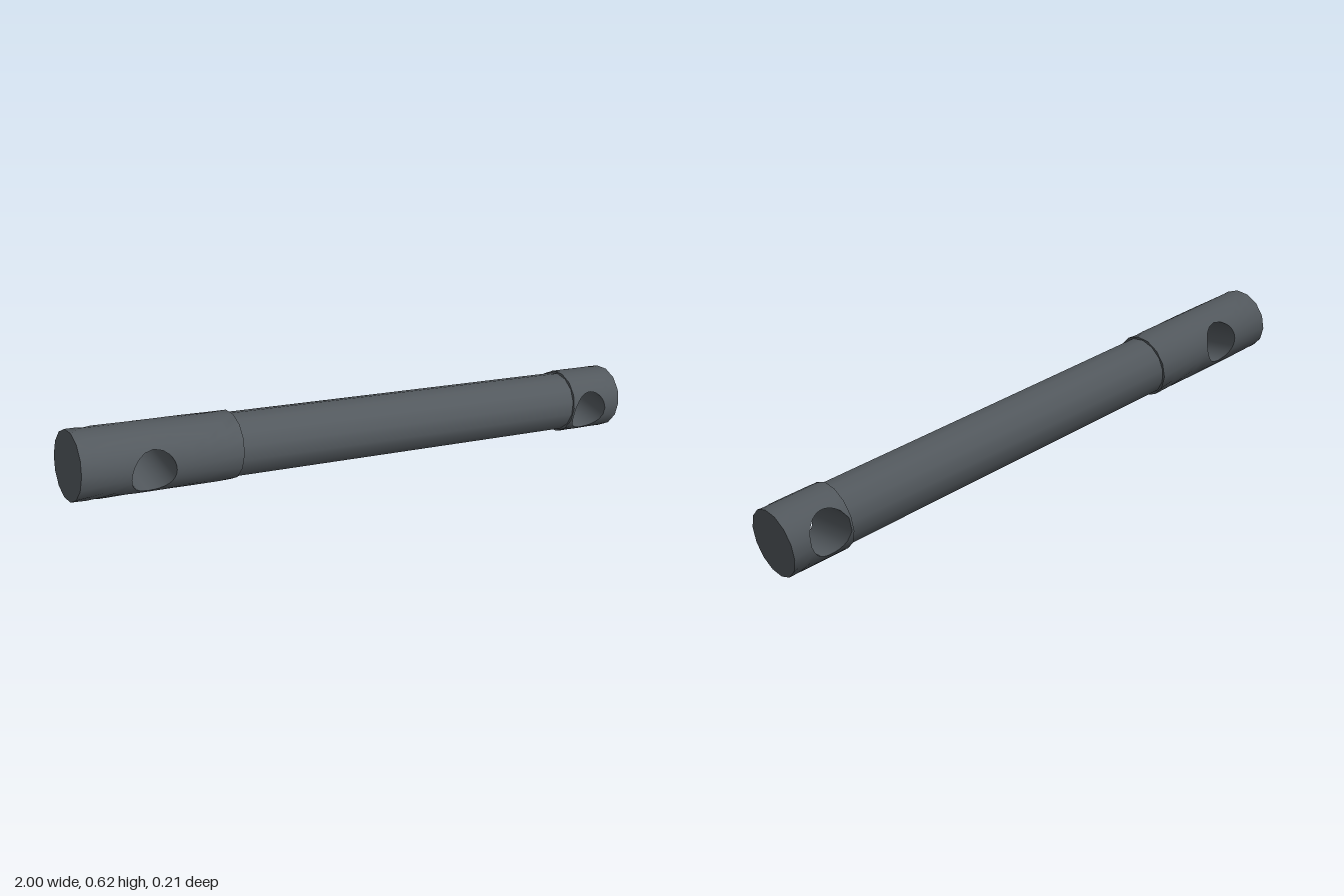
import * as THREE from 'three';

const SIDES = 14, HALF = 1.0, SLEEVE_R = 0.106, ROD_R = 0.099, HOLE_R = 0.07;

// Grid surface: point(i, j) returns [position, normal]
function gridGeometry(cols, rows, point) {
  const pos = [], nor = [], idx = [];
  for (let i = 0; i <= cols; i++) {
    for (let j = 0; j <= rows; j++) {
      const [p, n] = point(i, j);
      pos.push(...p);
      nor.push(...n);
      if (i < cols && j < rows) {
        const a = i * (rows + 1) + j, d = a + rows + 1;
        idx.push(a, a + 1, d + 1, a, d + 1, d);
      }
    }
  }
  const g = new THREE.BufferGeometry();
  g.setAttribute('position', new THREE.Float32BufferAttribute(pos, 3));
  g.setAttribute('normal', new THREE.Float32BufferAttribute(nor, 3));
  g.setIndex(idx);
  return g;
}

// Counterclockwise outline of half a sleeve, unrolled to (x, angle)
function halfOutline(x0, x1) {
  const q = Math.PI / 2, n = SIDES / 2, pts = [];
  const corners = [[x0, -q], [x1, -q], [x1, q], [x0, q], [x0, -q]];
  for (let s = 0; s < 4; s++) {
    for (let k = 0; k < n; k++) {
      const t = k / n, [a, b] = [corners[s], corners[s + 1]];
      pts.push([a[0] + (b[0] - a[0]) * t, a[1] + (b[1] - a[1]) * t]);
    }
  }
  pts.push(corners[4]);
  return pts;
}

// Solid sleeve from x0 to x1 with a round cross hole at xh
function makeSleeve(name, x0, x1, xh, material) {
  const group = new THREE.Group();
  group.name = name;
  const add = (part, geometry) => {
    const m = new THREE.Mesh(geometry, material);
    m.name = part;
    group.add(m);
    return m;
  };
  const outline = halfOutline(x0, x1), cols = outline.length - 1, rows = 4;
  const angles = outline.map(([x, th]) => Math.atan2(th * SLEEVE_R, x - xh));

  // Curved skin, spreading from the hole rim to the outline
  const skin = gridGeometry(cols, rows, (i, j) => {
    const a = angles[i], t = j / rows;
    const x = THREE.MathUtils.lerp(xh + HOLE_R * Math.cos(a), outline[i][0], t);
    const th = THREE.MathUtils.lerp(Math.asin(HOLE_R * Math.sin(a) / SLEEVE_R), outline[i][1], t);
    const n = [0, Math.sin(th), Math.cos(th)];
    return [[x, SLEEVE_R * n[1], SLEEVE_R * n[2]], n];
  });
  add('frontSkin', skin);
  add('backSkin', skin).rotation.x = Math.PI;

  // Wall of the cross hole
  add('holeWall', gridGeometry(cols, 1, (i, j) => {
    const c = Math.cos(angles[i]), s = Math.sin(angles[i]);
    const z = Math.sqrt(SLEEVE_R ** 2 - (HOLE_R * s) ** 2) * (j ? 1 : -1);
    return [[xh + HOLE_R * c, HOLE_R * s, z], [-c, -s, 0]];
  }));

  // End faces
  for (const [x, dir] of [[x0, -1], [x1, 1]]) {
    const cap = add('endFace', new THREE.CircleGeometry(SLEEVE_R, SIDES, Math.PI / 2));
    cap.rotation.y = dir * Math.PI / 2;
    cap.position.x = x;
  }
  return group;
}

export function createModel() {
  const model = new THREE.Group();
  model.name = 'linkRod';
  const material = new THREE.MeshStandardMaterial({ color: 0x53595e });

  const rod = new THREE.Group();
  rod.name = 'tiltedRod';
  rod.add(makeSleeve('longSleeve', -HALF, -0.487, -0.776, material));
  rod.add(makeSleeve('shortSleeve', 0.797, HALF, 0.871, material));

  // Slimmer shaft between the sleeves
  const x0 = -0.487, x1 = 0.797;
  const shaft = new THREE.Mesh(
    new THREE.CylinderGeometry(ROD_R, ROD_R, x1 - x0, SIDES, 1, true).rotateZ(Math.PI / 2), material);
  shaft.name = 'shaft';
  shaft.position.x = (x0 + x1) / 2;
  rod.add(shaft);

  rod.rotation.z = -0.21;
  rod.position.y = 0.312;
  model.add(rod);
  return model;
}
